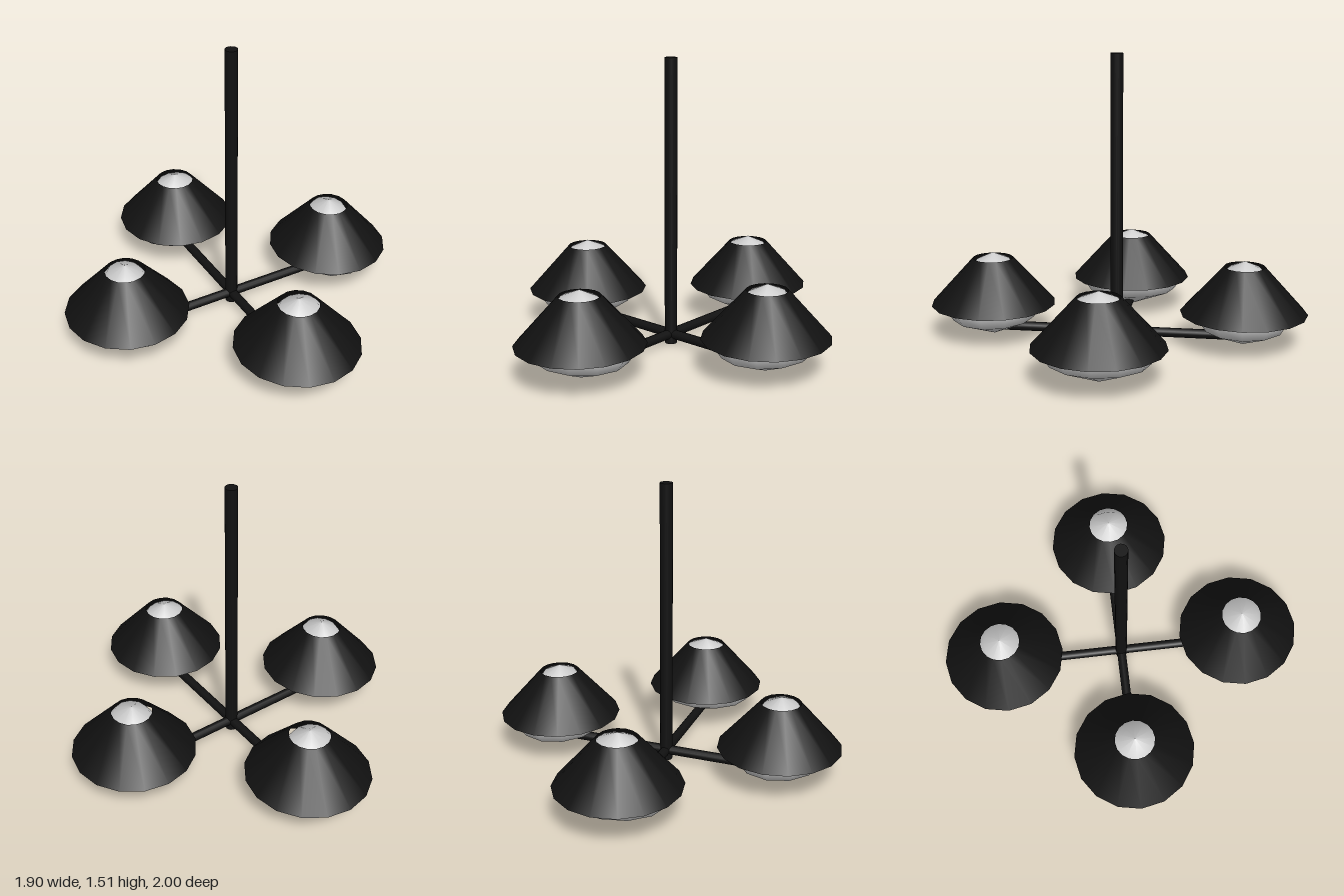
import * as THREE from 'three';

const black = new THREE.MeshStandardMaterial({ color: 0x111111 });
const blackThin = new THREE.MeshStandardMaterial({ color: 0x111111, side: THREE.DoubleSide });
const grey = new THREE.MeshStandardMaterial({ color: 0xcccccc });

const lathe = (points, sides) =>
  new THREE.LatheGeometry(points.map(([r, y]) => new THREE.Vector2(r, y)), sides);

// open cone, hole at the top
const shadeGeometry = lathe([[0.332, 0.177], [0.107, 0.425]], 16);
// flattened globe with pointed poles
const bulbGeometry = lathe([
  [0, 0.005], [0.25, 0.105], [0.3, 0.175], [0.27, 0.215],
  [0.17, 0.32], [0.1, 0.415], [0, 0.455],
], 12);

function part(name, geometry, material) {
  const mesh = new THREE.Mesh(geometry, material);
  mesh.name = name;
  return mesh;
}

function createLamp(alongX) {
  const lamp = new THREE.Group();
  lamp.name = 'lamp';
  const shade = part('shade', shadeGeometry, blackThin);
  shade.scale.x = 0.975;
  // the bulb is narrower along its arm
  const bulb = part('bulb', bulbGeometry, grey);
  bulb.scale.set(alongX ? 0.87 : 1, 1, alongX ? 1 : 0.87);
  lamp.add(shade, bulb);
  return lamp;
}

export function createModel() {
  const model = new THREE.Group();
  model.name = 'chandelier';

  // hanging rod
  const rod = part('rod', new THREE.CylinderGeometry(0.033, 0.033, 1.515, 16), black);
  rod.position.y = 1.515 / 2;
  model.add(rod);

  // crossed arms, with a lamp at each end
  for (const alongX of [true, false]) {
    const reach = alongX ? 0.625 : 0.667;
    const arm = part('arm', new THREE.CylinderGeometry(0.025, 0.025, reach * 2, 12), black);
    if (alongX) arm.rotation.z = Math.PI / 2;
    else arm.rotation.x = Math.PI / 2;
    arm.position.y = 0.05;
    model.add(arm);

    for (const side of [-1, 1]) {
      const lamp = createLamp(alongX);
      lamp.position.set(alongX ? side * reach : 0, 0, alongX ? 0 : side * reach);
      model.add(lamp);
    }
  }
  return model;
}
